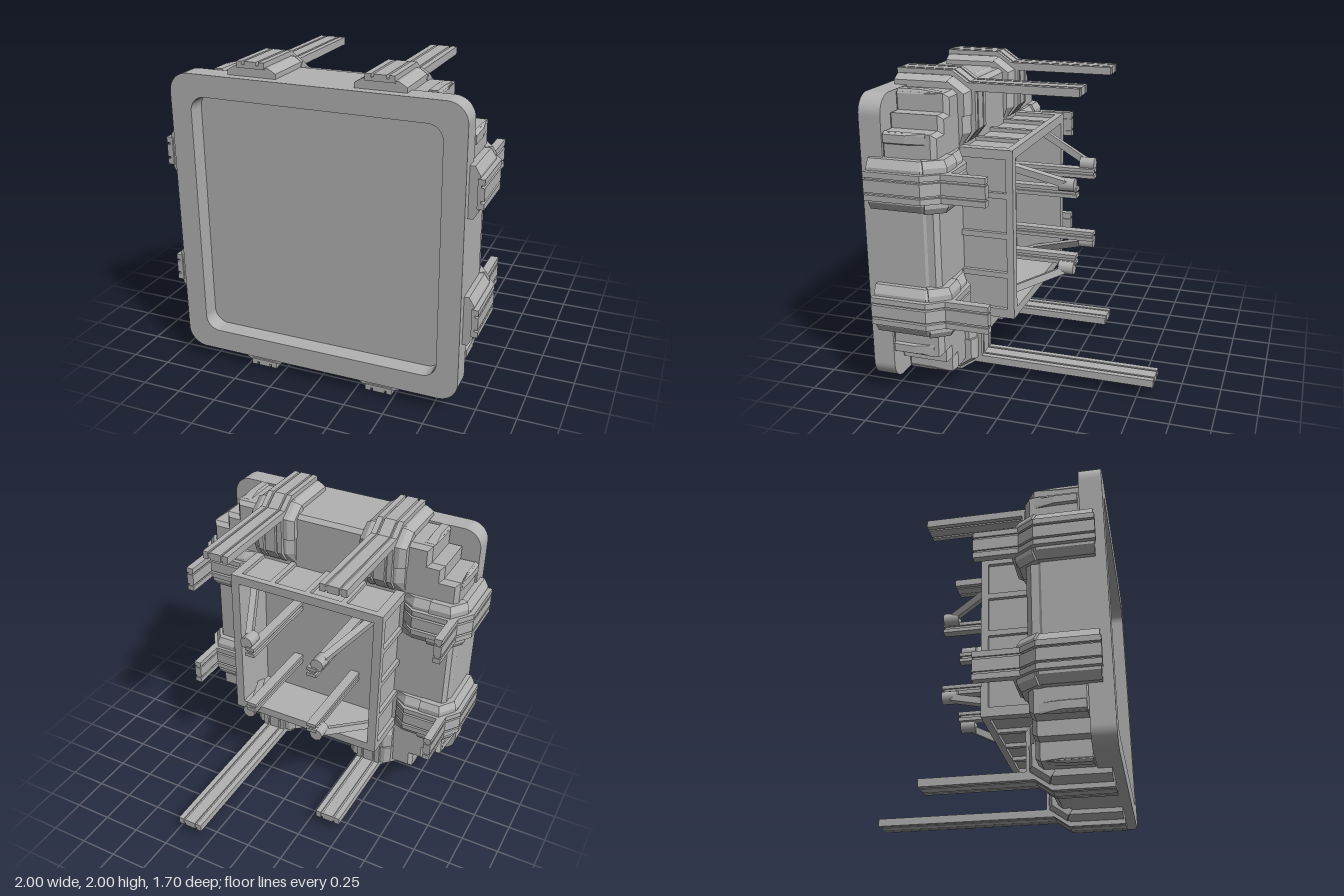
import * as THREE from 'three';

export function createModel() {
  const grey = new THREE.MeshStandardMaterial({ color: 0xb2b2b2 });
  grey.name = 'grey metal';
  const model = new THREE.Group();
  const hub = new THREE.Group(); // centred on the housing axis
  hub.name = 'hatchAssembly';
  hub.position.y = 1;
  model.add(hub);

  const add = (parent, name, geo, x = 0, y = 0, z = 0) => {
    const mesh = new THREE.Mesh(geo, grey);
    mesh.name = name;
    mesh.position.set(x, y, z);
    parent.add(mesh);
    return mesh;
  };
  // Box given by its limits
  const block = (parent, name, x0, x1, y0, y1, z0, z1) =>
    add(parent, name, new THREE.BoxGeometry(x1 - x0, y1 - y0, z1 - z0),
      (x0 + x1) / 2, (y0 + y1) / 2, (z0 + z1) / 2);

  const roundedSquare = (Path, h, r) => {
    const p = new Path();
    p.moveTo(h, -h + r);
    p.absarc(h - r, h - r, r, 0, Math.PI / 2);
    p.absarc(-h + r, h - r, r, Math.PI / 2, Math.PI);
    p.absarc(-h + r, -h + r, r, Math.PI, Math.PI * 1.5);
    p.absarc(h - r, -h + r, r, Math.PI * 1.5, Math.PI * 2);
    p.closePath();
    return p;
  };

  // Sweeps a convex section [across, height] along a path [z, radius, heightScale]
  function sweep(section, path) {
    const pos = [];
    const normal = (a, b) => {
      const dz = b[0] - a[0], dr = b[1] - a[1], l = Math.hypot(dz, dr);
      return [dr / l, -dz / l];
    };
    const rings = path.map((p, i) => {
      const n1 = normal(path[Math.max(i - 1, 0)], path[Math.max(i, 1)]);
      const last = path.length - 1;
      const n2 = normal(path[Math.min(i, last - 1)], path[Math.min(i + 1, last)]);
      const k = (p[2] ?? 1) / (1 + n1[0] * n2[0] + n1[1] * n2[1]);
      return section.map(([t, h]) =>
        [t, p[1] + (n1[1] + n2[1]) * k * h, p[0] + (n1[0] + n2[0]) * k * h]);
    });
    const tri = (...v) => v.forEach((q) => pos.push(...q));
    const n = section.length;
    for (let i = 0; i < rings.length - 1; i++) {
      for (let j = 0; j < n; j++) {
        const a = rings[i][j], b = rings[i][(j + 1) % n];
        const d = rings[i + 1][j], c = rings[i + 1][(j + 1) % n];
        tri(a, d, c);
        tri(a, c, b);
      }
    }
    const end = rings[rings.length - 1];
    for (let j = 1; j < n - 1; j++) {
      tri(rings[0][0], rings[0][j], rings[0][j + 1]);
      tri(end[0], end[j + 1], end[j]);
    }
    const geo = new THREE.BufferGeometry();
    geo.setAttribute('position', new THREE.Float32BufferAttribute(pos, 3));
    geo.computeVertexNormals();
    return geo;
  }

  // Front frame and recessed panel
  const frame = roundedSquare(THREE.Shape, 0.91, 0.12);
  frame.holes.push(roundedSquare(THREE.Path, 0.775, 0.09));
  add(hub, 'frontFrame', new THREE.ExtrudeGeometry(frame,
    { depth: 0.14, bevelEnabled: false, curveSegments: 10 }), 0, 0, 0.71);
  add(hub, 'frontPanel', new THREE.ExtrudeGeometry(roundedSquare(THREE.Shape, 0.8, 0.1),
    { depth: 0.03, bevelEnabled: false }), 0, 0, 0.71);

  // Housing core with stepped corners
  const steps = [[0.9, 0.7], [0.79, 0.7], [0.79, 0.79], [0.7, 0.79], [0.7, 0.9]];
  const outline = [];
  for (let k = 0; k < 4; k++) {
    const c = Math.round(Math.cos(k * Math.PI / 2)), s = Math.round(Math.sin(k * Math.PI / 2));
    steps.forEach(([x, y]) => outline.push(new THREE.Vector2(x * c - y * s, x * s + y * c)));
  }
  add(hub, 'housingCore', new THREE.ExtrudeGeometry(new THREE.Shape(outline), {
    depth: 0.29, bevelThickness: 0.03, bevelSize: 0.025, bevelOffset: -0.025, bevelSegments: 1,
  }), 0, 0, 0.41);

  // Section and path shared by every clamp
  const clampSection = [[-0.155, -0.01], [0.155, -0.01], [0.155, 0.03], [0.105, 0.06], [-0.105, 0.06], [-0.155, 0.03]];
  const collarSection = [[-0.16, 0], [0.16, 0], [0.16, 0.045], [0.12, 0.068], [-0.12, 0.068], [-0.16, 0.045]];
  const clampPath = [[0.79, 0.91], [0.47, 0.91], [0.385, 0.85], [0.385, 0.63], [0.385, 0.55, 0.1]];
  const collarPath = [[0.47, 0.91], [0.45, 0.896], [0.385, 0.85], [0.385, 0.74]];
  const railPath = [[0.8, 0.91], [0.47, 0.91], [0.385, 0.85], [0.385, 0.64], [0.385, 0.56, 0.3]];
  const ribs = [[-0.0875, -0.052], [-0.038, 0.038], [0.052, 0.0875]];
  const strip = (a, b, h0, h1) => [[a, h0], [b, h0], [b, h1], [a, h1]];

  function clamp(tail) {
    const g = new THREE.Group();
    g.name = 'clamp';
    add(g, 'clampBand', sweep(clampSection, clampPath));
    add(g, 'clampCollar', sweep(collarSection, collarPath));
    add(g, 'railBase', sweep(strip(-0.085, 0.085, 0.05, 0.07), railPath));
    // Ribbed rail over the band, and straight bar running to the back
    block(g, 'barCore', -0.08, 0.08, 0.89, 0.92, tail + 0.005, 0.36);
    ribs.forEach(([a, b]) => {
      add(g, 'railRib', sweep(strip(a, b, 0.05, 0.09), railPath));
      block(g, 'barRib', a, b, 0.88, 0.93, tail, 0.36);
    });
    return g;
  }

  // Sides in order: top, model's right, bottom, model's left; bar ends per clamp
  const tails = [[-0.35, -0.35], [0.07, 0.07], [-0.85, -0.35], [0.07, 0.07]];
  const beamProfile = new THREE.Shape([[-0.72, 0.4], [-0.72, 0.91], [-0.47, 0.91], [-0.38, 0.85], [-0.38, 0.4]]
    .map(([z, r]) => new THREE.Vector2(z, r)));
  const beamGeo = new THREE.ExtrudeGeometry(beamProfile, { depth: 1.1, bevelEnabled: false });
  beamGeo.translate(0, 0, -0.55).rotateY(Math.PI / 2).rotateY(0);
  beamGeo.rotateY(0);

  for (let k = 0; k < 4; k++) {
    const side = new THREE.Group();
    side.name = 'side';
    side.rotation.z = k * Math.PI / 2;
    hub.add(side);

    // Chamfered beam between the corners
    add(side, 'sideBeam', beamGeo);

    [-1, 1].forEach((s, i) => {
      const c = clamp(tails[k][i]);
      c.position.x = s * 0.395;
      side.add(c);
      // Tapered corner wedge
      const wedge = sweep([[-0.04, -0.01], [0.04, -0.01], [0.025, 0.016], [-0.025, 0.016]],
        [[0.7, 0.9], [0.56, 0.9], [0.44, 0.9, 0.1]]);
      add(side, 'cornerWedge', wedge, s * 0.665);
    });

    // Rear box wall: recessed panel, rim and ribs
    block(side, 'boxPanel', -0.52, 0.52, 0.49, 0.525, 0.05, 0.39);
    block(side, 'boxRim', -0.55, 0.55, 0.49, 0.55, 0.04, 0.085);
    for (const t of [-0.26, 0, 0.26]) block(side, 'boxRib', t - 0.018, t + 0.018, 0.51, 0.55, 0.08, 0.39);
    block(side, 'boxCorner', 0.49, 0.55, 0.49, 0.55, 0.08, 0.39);
  }

  // Guide rods with diagonal braces inside the box
  const strut = (name, a, b, w) => {
    const dir = b.clone().sub(a);
    const m = add(hub, name, new THREE.BoxGeometry(w, w, dir.length()));
    m.position.copy(a).add(b).multiplyScalar(0.5);
    m.quaternion.setFromUnitVectors(new THREE.Vector3(0, 0, 1), dir.normalize());
  };
  for (const sx of [-1, 1]) {
    for (const sy of [-1, 1]) {
      const rod = new THREE.Group();
      rod.name = 'guideRod';
      rod.position.set(sx * 0.225, sy * 0.225, 0);
      hub.add(rod);
      block(rod, 'rodCore', -0.02, 0.02, -0.02, 0.02, -0.27, 0.39);
      for (const o of [-1, 1]) {
        const c = o * 0.021;
        block(rod, 'rodRail', -0.033, 0.033, c - 0.012, c + 0.012, -0.28, 0.39);
      }
      const head = add(hub, 'rodHead', new THREE.CylinderGeometry(0.045, 0.045, 0.1, 8),
        sx * 0.255, sy * 0.28, -0.22);
      head.rotation.x = Math.PI / 2;
      strut('rodBrace', new THREE.Vector3(sx * 0.5, sy * 0.49, 0.3),
        new THREE.Vector3(sx * 0.265, sy * 0.29, -0.21), 0.045);
    }
  }
  return model;
}
